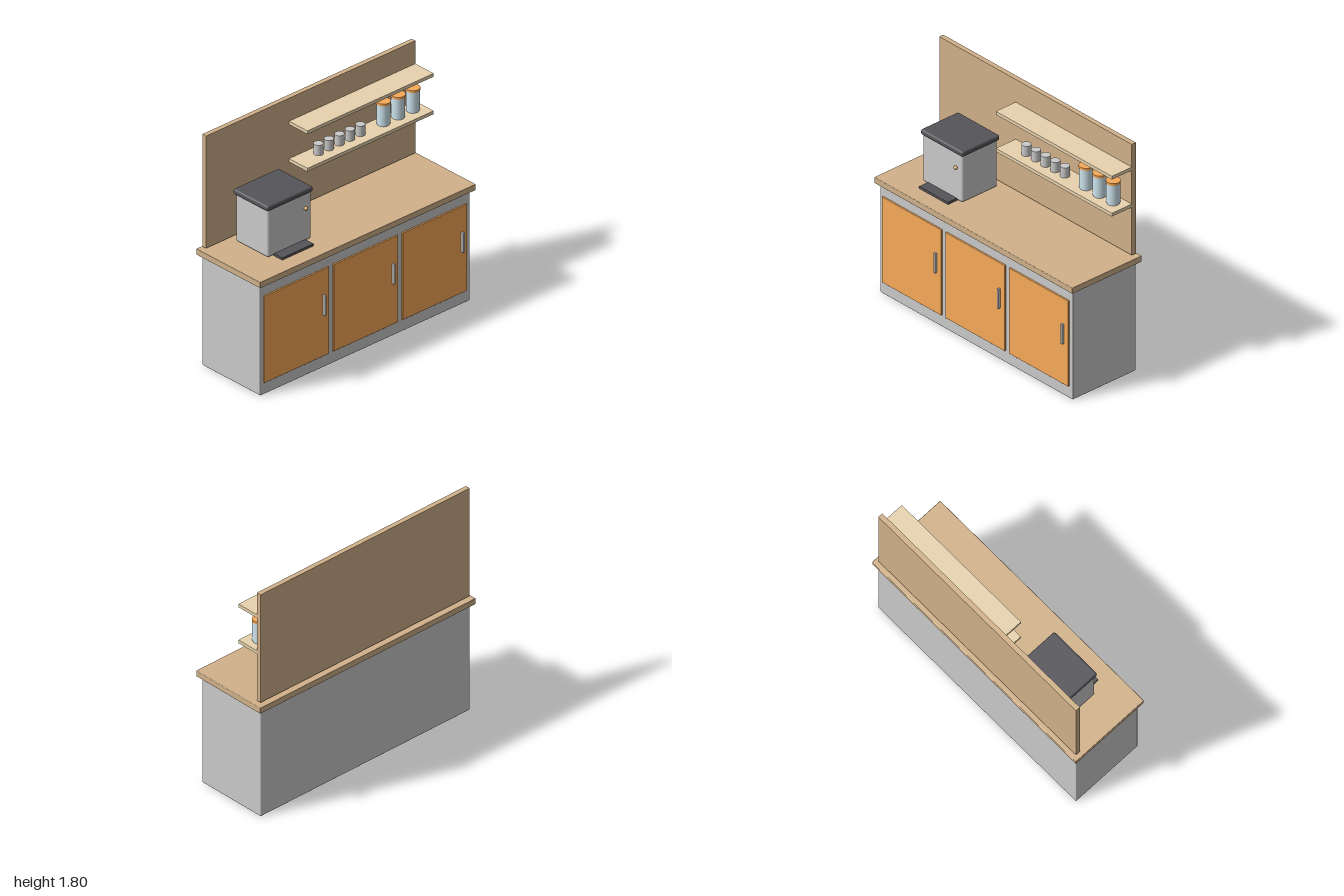
import * as THREE from 'three';
import { RoundedBoxGeometry } from 'three/addons/geometries/RoundedBoxGeometry.js';

const mat = (color) => new THREE.MeshStandardMaterial({ color });

export function createModel() {
  const root = new THREE.Group();
  const grey = mat(0xcccccc), wood = mat(0xd2b28a), paleWood = mat(0xe8d3ae);
  const orange = mat(0xf8aa58), dark = mat(0x55555a), brass = mat(0xe0b870), glass = mat(0xcfe6f0);

  const add = (name, geometry, material, x, y, z, parent = root) => {
    const mesh = new THREE.Mesh(geometry, material);
    mesh.name = name;
    mesh.position.set(x, y, z);
    parent.add(mesh);
    return mesh;
  };
  // Box given by its minimum and maximum corners, with optional rounded edges
  const box = (name, material, [x0, y0, z0], [x1, y1, z1], r = 0, parent = root) => {
    const s = [x1 - x0, y1 - y0, z1 - z0];
    const g = r ? new RoundedBoxGeometry(...s, 3, r) : new THREE.BoxGeometry(...s);
    return add(name, g, material, (x0 + x1) / 2, (y0 + y1) / 2, (z0 + z1) / 2, parent);
  };
  const group = (name) => {
    const g = new THREE.Group();
    g.name = name;
    root.add(g);
    return g;
  };

  // Cabinet, worktop and wall panel
  box('cabinetBody', grey, [-0.97, 0, -0.29], [0.97, 0.86, 0.29], 0.006);
  box('worktop', wood, [-1, 0.86, -0.32], [1, 0.907, 0.32], 0.005);
  box('backPanel', wood, [-0.97, 0.925, -0.29], [0.97, 1.8, -0.253]);

  // Three doors, each with an upright handle on its right-hand edge
  [-0.642, -0.002, 0.638].forEach((x) => {
    const door = group('door');
    box('doorPanel', orange, [x - 0.3, 0.093, 0.285], [x + 0.3, 0.77, 0.302], 0.004, door);
    box('doorHandle', grey, [x + 0.242, 0.415, 0.298], [x + 0.258, 0.57, 0.322], 0.003, door);
  });

  // Bin with lid, pedal and knob
  const bin = group('bin');
  box('binBody', grey, [-0.737, 0.91, -0.21], [-0.334, 1.285, 0.115], 0.018, bin);
  box('binLid', dark, [-0.749, 1.276, -0.224], [-0.325, 1.318, 0.124], 0.015, bin);
  box('pedal', dark, [-0.68, 0.907, 0.05], [-0.39, 0.925, 0.196], 0, bin);
  add('binKnob', new THREE.SphereGeometry(0.014, 20, 14), brass, -0.392, 1.17, 0.124, bin);

  // Shelves and hanging rail
  [1.303, 1.595].forEach((y) =>
    box('shelf', paleWood, [-0.2, y, -0.253], [0.97, y + 0.026, -0.07]));
  const rail = add('rail', new THREE.CylinderGeometry(0.008, 0.008, 1.065, 12), paleWood, 0.388, 1.28, -0.145);
  rail.rotation.z = Math.PI / 2;

  // Row of small cups
  const cup = new THREE.CylinderGeometry(0.034, 0.034, 0.08, 24);
  for (let i = 0; i < 5; i++) add('cup', cup, grey, -0.003 + i * 0.097, 1.369, -0.172);

  // Glass jars with orange lids
  const jarBody = new THREE.CylinderGeometry(0.048, 0.048, 0.157, 24);
  const jarFoot = new THREE.CylinderGeometry(0.044, 0.044, 0.01, 24);
  const jarLid = new THREE.CylinderGeometry(0.051, 0.051, 0.018, 24);
  for (let i = 0; i < 3; i++) {
    const jar = group('jar');
    jar.position.set(0.599 + i * 0.1365, 0, -0.172);
    add('jarFoot', jarFoot, glass, 0, 1.334, 0, jar);
    add('jarBody', jarBody, glass, 0, 1.415, 0, jar);
    add('jarLid', jarLid, orange, 0, 1.5, 0, jar);
  }
  return root;
}
